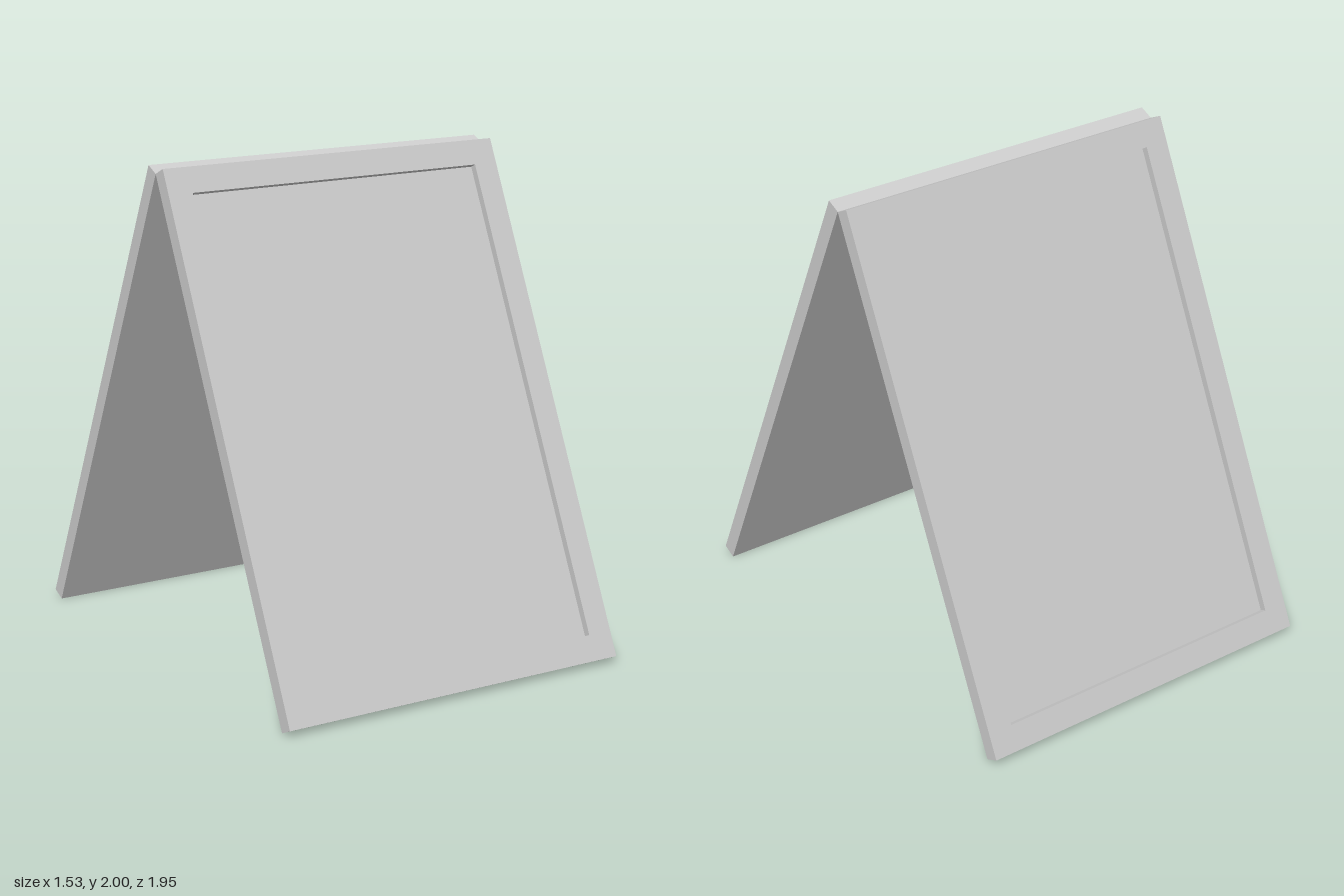
import * as THREE from 'three';

const WIDTH = 1.53, THICK = 0.063, BORDER = 0.105, RECESS = 0.03;
const TILT = THREE.MathUtils.degToRad(25);
const LENGTH = (2 - THICK * Math.sin(TILT)) / Math.cos(TILT);

// Board with a recessed outer face, hanging down from its top inner edge;
// made of rectangular rings running from the inner face round to the recess floor
function boardGeometry() {
  const ring = (inset, z) => {
    const x = WIDTH / 2 - inset, top = -inset, bottom = -LENGTH + inset;
    return [[-x, bottom, z], [x, bottom, z], [x, top, z], [-x, top, z]];
  };
  const rings = [
    ring(0, 0),
    ring(0, THICK),
    ring(BORDER, THICK),
    ring(BORDER, THICK - RECESS),
  ];
  const positions = [];
  const quad = (a, b, c, d) => positions.push(...a, ...b, ...c, ...a, ...c, ...d);

  quad(...[...rings[0]].reverse()); // inner face
  for (let r = 0; r < 3; r++) {
    for (let i = 0; i < 4; i++) {
      const j = (i + 1) % 4;
      quad(rings[r][i], rings[r][j], rings[r + 1][j], rings[r + 1][i]);
    }
  }
  quad(...rings[3]); // recess floor

  const geometry = new THREE.BufferGeometry();
  geometry.setAttribute('position', new THREE.Float32BufferAttribute(positions, 3));
  geometry.computeVertexNormals();
  return geometry;
}

export function createModel() {
  const model = new THREE.Group();
  model.name = 'sandwichBoard';
  const material = new THREE.MeshStandardMaterial({ color: 0xcccccc, flatShading: true });
  const geometry = boardGeometry();

  // Two identical boards leaning together along the top edge
  for (const [name, turn] of [['frontBoard', 0], ['backBoard', Math.PI]]) {
    const side = new THREE.Group();
    side.name = name;
    side.rotation.y = turn;
    const board = new THREE.Mesh(geometry, material);
    board.name = name + 'Panel';
    board.position.y = LENGTH * Math.cos(TILT);
    board.rotation.x = -TILT;
    side.add(board);
    model.add(side);
  }
  return model;
}
